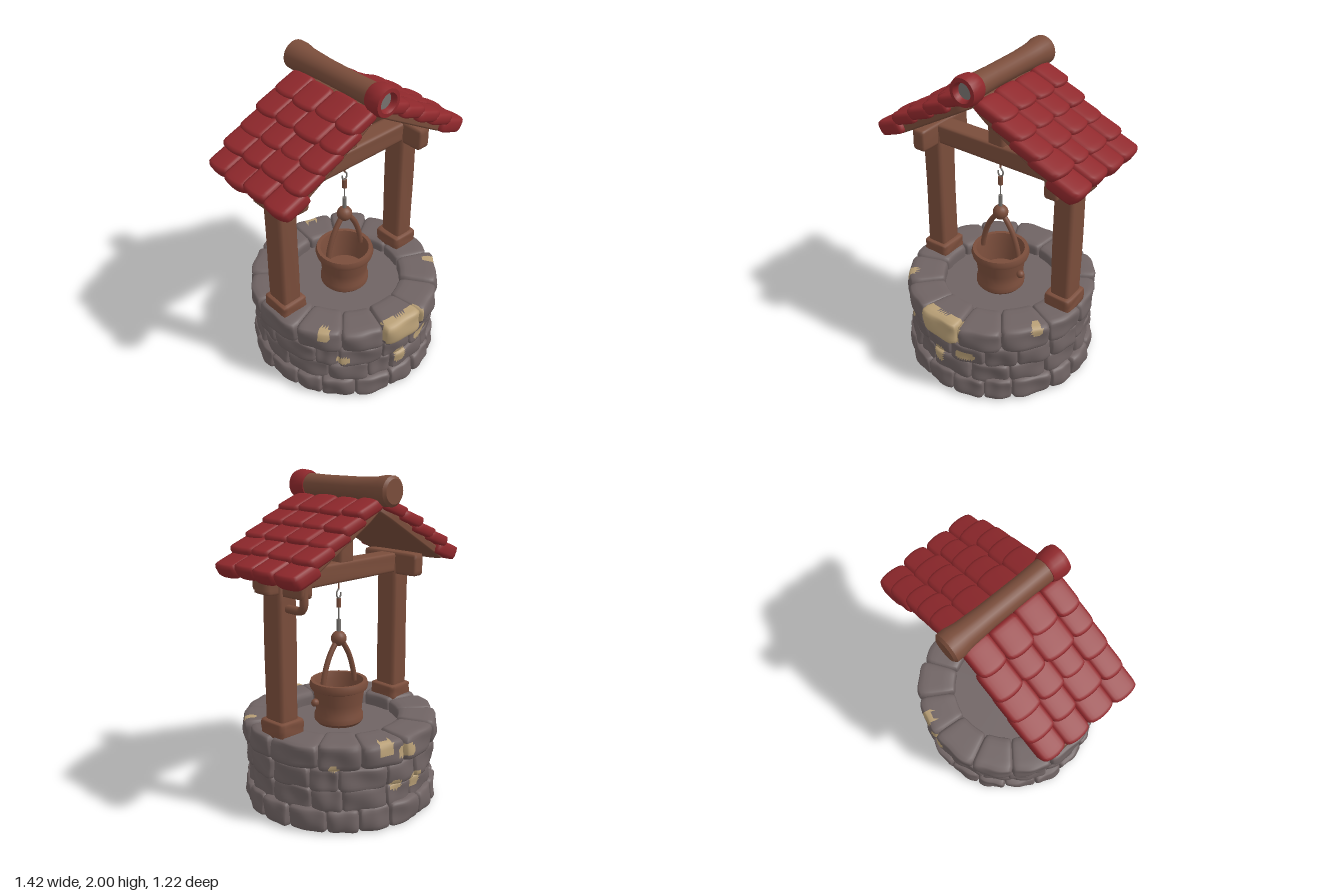
import * as THREE from 'three';
import { mergeVertices, mergeGeometries, toCreasedNormals } from 'three/addons/utils/BufferGeometryUtils.js';

const mat = (name, color, side = THREE.FrontSide) => {
  const m = new THREE.MeshStandardMaterial({ color, side });
  m.name = name;
  return m;
};

// small seeded random in -1..1
let seed = 7;
const rnd = () => {
  seed = (seed * 16807) % 2147483647;
  return (seed / 2147483647) * 2 - 1;
};

// soft-cornered block; k sets how sharp the corners are, map(u, v, w) places each point of the -1..1 cube
function softBlock(k, [nx, ny, nz], map) {
  let g = new THREE.BoxGeometry(2, 2, 2, nx, ny, nz);
  g.deleteAttribute('normal');
  g.deleteAttribute('uv');
  g.clearGroups();
  g = mergeVertices(g);
  const p = g.attributes.position;
  for (let i = 0; i < p.count; i++) {
    const c = [p.getX(i), p.getY(i), p.getZ(i)];
    const norm = Math.pow(c.reduce((s, a) => s + Math.abs(a) ** k, 0), 1 / k);
    p.setXYZ(i, ...map(c[0] / norm, c[1] / norm, c[2] / norm));
  }
  g.computeVertexNormals();
  return g;
}

// one course of stones bent round the well
function course(n, y0, y1, rIn, rOut, start, jitter) {
  const step = (Math.PI * 2) / n, cuts = [];
  for (let i = 0; i < n; i++) cuts.push(start + step * i + (i > 1 ? rnd() * jitter * step : 0));
  cuts.push(cuts[0] + Math.PI * 2);
  return cuts.slice(0, n).map((a, i) => {
    const mid = (a + cuts[i + 1]) / 2, half = ((cuts[i + 1] - a) / 2) * 1.03;
    const out = rOut + rnd() * 0.008, top = y1 + rnd() * 0.008, ph = rnd() * 3;
    return softBlock(7, [16, 8, 6], (u, v, w) => {
      const t = mid + u * half, y = y0 + ((v + 1) / 2) * (top - y0);
      const bump = 0.006 * Math.sin(9 * u * half + 30 * y + ph) + 0.004 * Math.sin(5 * u + ph * 4);
      const r = rIn + ((w + 1) / 2) * (out + bump - rIn);
      return [Math.sin(t) * r, y, Math.cos(t) * r];
    });
  });
}

// bare patches on the stones: angle, height, half width, half height
const PATCHES = [
  [-0.05, 0.48, 0.155, 0.085], [-0.74, 0.305, 0.045, 0.025], [0.24, 0.305, 0.065, 0.028],
  [-0.09, 0.24, 0.04, 0.055], [3.06, 0.46, 0.06, 0.035], [-3.04, 0.24, 0.045, 0.05],
  [2.82, 0.5, 0.05, 0.04], [2.96, 0.25, 0.04, 0.03], [2.29, 0.4, 0.03, 0.02],
  [-0.94, 0.52, 0.035, 0.03], [1.0, 0.52, 0.035, 0.03],
];
const inPatch = (x, y, z) => Math.hypot(x, z) > 0.535 && PATCHES.some(([a, py, w, h]) => {
  let d = Math.atan2(x, z) - a;
  d = Math.atan2(Math.sin(d), Math.cos(d)) * 0.59;
  return (d / w) ** 4 + ((y - py) / h) ** 4 < 1;
});

// sort triangles so plain stone and bare patches form two material groups
function splitPatches(geo) {
  const idx = geo.index.array, p = geo.attributes.position, parts = [[], []];
  for (let i = 0; i < idx.length; i += 3) {
    const t = [idx[i], idx[i + 1], idx[i + 2]];
    const mean = (f) => t.reduce((s, j) => s + p[f](j), 0) / 3;
    parts[inPatch(mean('getX'), mean('getY'), mean('getZ')) ? 1 : 0].push(...t);
  }
  geo.setIndex([...parts[0], ...parts[1]]);
  geo.addGroup(0, parts[0].length, 0);
  geo.addGroup(parts[0].length, parts[1].length, 1);
  return geo;
}

export function createModel() {
  const root = new THREE.Group();
  root.name = 'well';
  const stone = mat('stone', 0x6f6363), sand = mat('bareStone', 0xb89f76);
  const wood = mat('wood', 0x7a4d3b), red = mat('roofTile', 0x8f282c);
  const metal = mat('metal', 0x77736f, THREE.DoubleSide);

  const add = (name, geo, m, parent = root) => {
    const mesh = new THREE.Mesh(geo, m);
    mesh.name = name;
    parent.add(mesh);
    return mesh;
  };
  const lathe = (pts, n = 32) => toCreasedNormals(
    new THREE.LatheGeometry(pts.map(([x, y]) => new THREE.Vector2(x, y)), n), 0.7);
  const tube = (pts, r) => new THREE.TubeGeometry(
    new THREE.CatmullRomCurve3(pts.map((p) => new THREE.Vector3(...p))), 20, r, 10);
  const beam = (name, w, h, d, x, y, z, parent = root) => {
    const ph = rnd() * 3;
    const g = softBlock(16, [6, 8, 6], (u, v, q) => {
      const s = 1 + 0.015 * Math.sin(4 * v + 3 * u * q + ph);
      return [u * w * 0.5 * (w < 0.3 ? s : 1), v * h * 0.5, q * d * 0.5 * (d < 0.3 ? s : 1)];
    });
    const m = add(name, g, wood, parent);
    m.position.set(x, y, z);
    return m;
  };

  // stone wall
  const courses = {
    bottomStones: course(18, 0, 0.145, 0.42, 0.598, 0.1, 0.15),
    lowerStones: course(15, 0.12, 0.27, 0.44, 0.572, 0.3, 0.22),
    upperStones: course(16, 0.25, 0.395, 0.44, 0.575, 0.06, 0.22),
    rimStones: course(13, 0.385, 0.54, 0.36, 0.6, -0.31, 0.12),
  };
  for (const [name, list] of Object.entries(courses))
    add(name, splitPatches(mergeGeometries(list)), [stone, sand]);
  add('wallCore', lathe([[0, 0.02], [0.535, 0.02], [0.535, 0.48], [0.39, 0.48], [0.39, 0.46], [0, 0.46]], 48), stone);

  // posts, feet and eave beams
  for (const s of [1, -1]) {
    beam('post', 0.125, 0.92, 0.145, s * 0.478, 0.98, 0);
    beam('postFoot', 0.175, 0.1, 0.19, s * 0.475, 0.565, 0);
    beam('eaveBeam', 0.09, 0.14, 0.42, s * 0.47, 1.42, -0.01);
  }
  beam('crossBeam', 1.24, 0.12, 0.13, 0, 1.422, 0);
  beam('kingPost', 0.11, 0.4, 0.12, 0, 1.64, 0);
  add('postBracket', tube([[0.48, 1.28, -0.05], [0.48, 1.28, -0.12], [0.48, 1.285, -0.18], [0.48, 1.31, -0.2], [0.48, 1.42, -0.2]], 0.024), wood);

  // two roof slopes: board below, overlapping tiles above
  for (const turn of [0, Math.PI]) {
    const side = new THREE.Group();
    side.name = 'roofSide';
    side.position.z = -0.025;
    side.rotation.y = turn;
    const slope = new THREE.Group();
    slope.name = 'roofSlope';
    slope.position.set(0.02, 1.87, 0);
    slope.rotation.z = -0.53;
    side.add(slope);
    root.add(side);
    beam('roofBoard', 0.68, 0.055, 0.6, 0.35, -0.055, 0, slope);
    const tiles = [];
    for (let row = 0; row < 5; row++) {
      const edges = [-0.335, -0.17, 0, 0.165, 0.335].map((e, i) => e + (i % 4 ? rnd() * 0.018 : rnd() * 0.008));
      for (let col = 0; col < 4; col++) {
        const mid = (edges[col] + edges[col + 1]) / 2, half = (edges[col + 1] - edges[col]) / 2 * 1.05;
        const s0 = 0.125 + row * 0.139 + rnd() * 0.008, lift = rnd() * 0.007;
        const thick = row === 4 ? 0.045 : 0.034;
        tiles.push(softBlock(7, [8, 4, 8], (u, v, w) => [
          s0 + u * 0.098 - 0.016 * w * w * (u + 1) / 2,
          v * thick + u * 0.016 + lift - 0.008 * w * w - (row === 4 ? 0.012 : 0),
          mid + w * half,
        ]));
      }
    }
    add('roofTiles', mergeGeometries(tiles), red, slope);
  }

  // ridge log with a hollow red end cap
  const ridge = new THREE.Group();
  ridge.name = 'ridge';
  ridge.position.y = 1.91;
  ridge.rotation.x = Math.PI / 2;
  root.add(ridge);
  add('ridgeLog', lathe([[0, -0.42], [0.07, -0.42], [0.086, -0.405], [0.087, -0.36], [0.076, -0.3],
    [0.068, -0.15], [0.066, 0.1], [0.07, 0.26], [0, 0.26]], 24), wood, ridge);
  add('ridgeCap', lathe([[0.06, 0.24], [0.075, 0.24], [0.086, 0.265], [0.09, 0.32], [0.082, 0.348],
    [0.06, 0.35], [0.05, 0.335], [0.048, 0.3]], 24), red, ridge);
  const capDisc = add('ridgeCapInside', new THREE.CircleGeometry(0.055, 24), metal, ridge);
  capDisc.rotation.x = -Math.PI / 2;
  capDisc.position.y = 0.315;

  // bucket with handle
  const bucket = new THREE.Group();
  bucket.name = 'bucket';
  bucket.position.z = 0.01;
  root.add(bucket);
  add('bucketBody', lathe([[0, 0.465], [0.135, 0.465], [0.152, 0.485], [0.152, 0.52], [0.143, 0.54], [0.148, 0.6],
    [0.16, 0.68], [0.177, 0.688], [0.183, 0.712], [0.175, 0.738], [0.152, 0.738], [0.142, 0.7], [0.13, 0.55], [0, 0.55]]), wood, bucket);
  for (const s of [1, -1])
    add('bucketHandle', tube([[s * 0.14, 0.7, 0], [s * 0.125, 0.78, 0], [s * 0.09, 0.88, 0], [s * 0.04, 0.96, 0], [0, 1, 0]], 0.017), wood, bucket);
  add('handleKnot', new THREE.SphereGeometry(0.048, 16, 12), wood, bucket).position.y = 1;
  add('bucketPeg', new THREE.SphereGeometry(0.025, 12, 10), wood, bucket).position.set(0.175, 0.62, 0.03);

  // chain up to the cross beam
  const rod = (name, r, y0, y1, m) => {
    add(name, new THREE.CylinderGeometry(r, r, y1 - y0, 10), m, bucket).position.y = (y0 + y1) / 2;
  };
  rod('chainRod', 0.013, 1.03, 1.12, metal);
  rod('chainWire', 0.004, 1.12, 1.2, metal);
  rod('chainLink', 0.015, 1.195, 1.25, wood);
  add('chainHook', tube([[-0.018, 1.285, 0], [-0.014, 1.262, 0], [0, 1.25, 0], [0.014, 1.262, 0], [0.018, 1.285, 0], [0, 1.31, 0]], 0.005), metal, bucket);
  rod('chainTop', 0.005, 1.305, 1.37, wood);
  return root;
}
